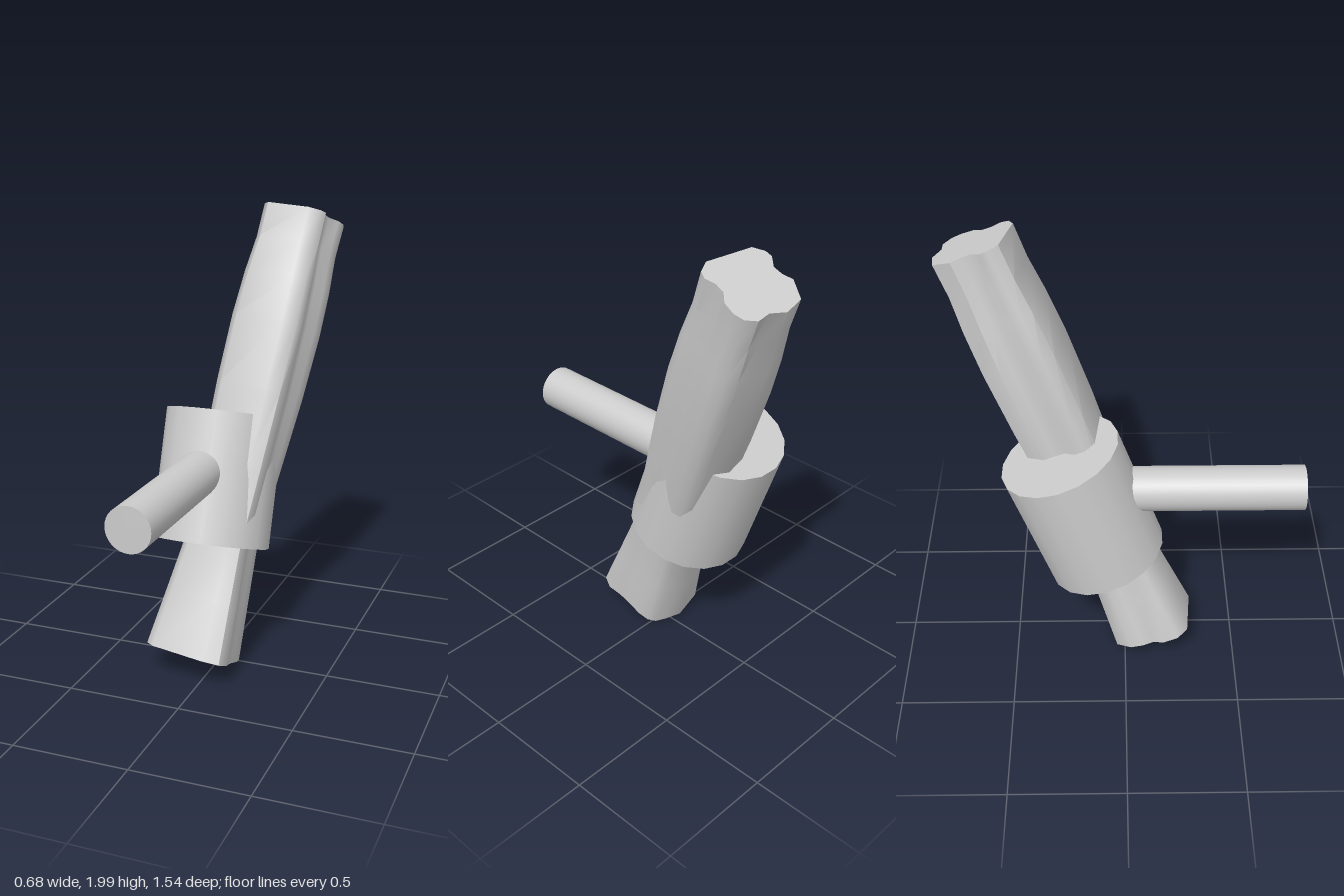
import * as THREE from 'three';
import { toCreasedNormals } from 'three/addons/utils/BufferGeometryUtils.js';

const grey = new THREE.MeshStandardMaterial({ color: 0xcccccc });

// Lobed outlines of the shaft ends as [x, z], in its own tilted frame
const bottomOutline = [
  [-0.11, -0.16], [0.02, -0.19], [0.09, -0.17], [0.14, -0.15], [0.165, -0.12], [0.175, -0.07],
  [0.175, -0.02], [0.175, 0.02], [0.18, 0.07], [0.19, 0.12], [0.17, 0.17], [0.1, 0.195],
  [-0.14, 0.185], [-0.185, 0.14], [-0.19, 0.07], [-0.165, 0.02], [-0.17, -0.03], [-0.16, -0.09],
];
const topOutline = [
  [-0.095, -0.16], [-0.005, -0.177], [0.055, -0.145], [0.115, -0.15], [0.155, -0.118], [0.165, -0.075],
  [0.155, -0.02], [0.12, 0.02], [0.115, 0.065], [0.13, 0.107], [0.115, 0.14], [0.065, 0.166],
  [-0.135, 0.128], [-0.165, 0.085], [-0.165, 0.053], [-0.13, 0.01], [-0.13, -0.032], [-0.145, -0.075],
];
// Thickness along the shaft as [height, scale]
const swell = [
  [0, 1], [0.25, 0.9], [0.5, 0.8], [0.85, 0.9], [1.2, 1.01],
  [1.5, 1.06], [1.7, 1.04], [1.86, 0.98], [2.01, 1],
];

function shaftGeometry() {
  const n = topOutline.length;
  const length = swell[swell.length - 1][0];
  const positions = [];
  const index = [];
  for (const [h, s] of swell) {
    const t = h / length;
    for (let i = 0; i < n; i++) {
      const [x0, z0] = bottomOutline[i];
      const [x1, z1] = topOutline[i];
      positions.push(s * (x0 + (x1 - x0) * t), h, s * (z0 + (z1 - z0) * t));
    }
  }
  // Sides
  for (let r = 0; r < swell.length - 1; r++) {
    for (let i = 0; i < n; i++) {
      const a = r * n + i, b = r * n + (i + 1) % n;
      index.push(a, a + n, b, b, a + n, b + n);
    }
  }
  // End caps
  const base = positions.length / 3;
  const last = (swell.length - 1) * n;
  positions.push(0, 0, 0, 0, length, 0);
  for (let i = 0; i < n; i++) {
    const j = (i + 1) % n;
    index.push(base, i, j, base + 1, last + j, last + i);
  }
  const geometry = new THREE.BufferGeometry();
  geometry.setAttribute('position', new THREE.Float32BufferAttribute(positions, 3));
  geometry.setIndex(index);
  return toCreasedNormals(geometry, 0.75);
}

function addPart(group, name, geometry, position, rotation) {
  const mesh = new THREE.Mesh(geometry, grey);
  mesh.name = name;
  mesh.position.set(...position);
  mesh.rotation.set(...rotation.map(THREE.MathUtils.degToRad));
  group.add(mesh);
}

export function createModel() {
  const group = new THREE.Group();
  group.name = 'shaftWithCollar';

  // Leaning shaft that swells and narrows
  addPart(group, 'shaft', shaftGeometry(), [-0.07, 0.075, 0.118], [-21, 0, -7]);

  // Collar around the shaft, leaning backwards only
  addPart(group, 'collar',
    new THREE.CylinderGeometry(0.265, 0.265, 0.583, 18, 1, false, Math.PI / 18),
    [-0.08, 0.8, -0.178], [-19.5, 0, 0]);

  // Level handle pointing forwards
  addPart(group, 'handle',
    new THREE.CylinderGeometry(0.098, 0.098, 0.85, 32),
    [-0.083, 0.89, 0.35], [90, 0, 0]);

  return group;
}
